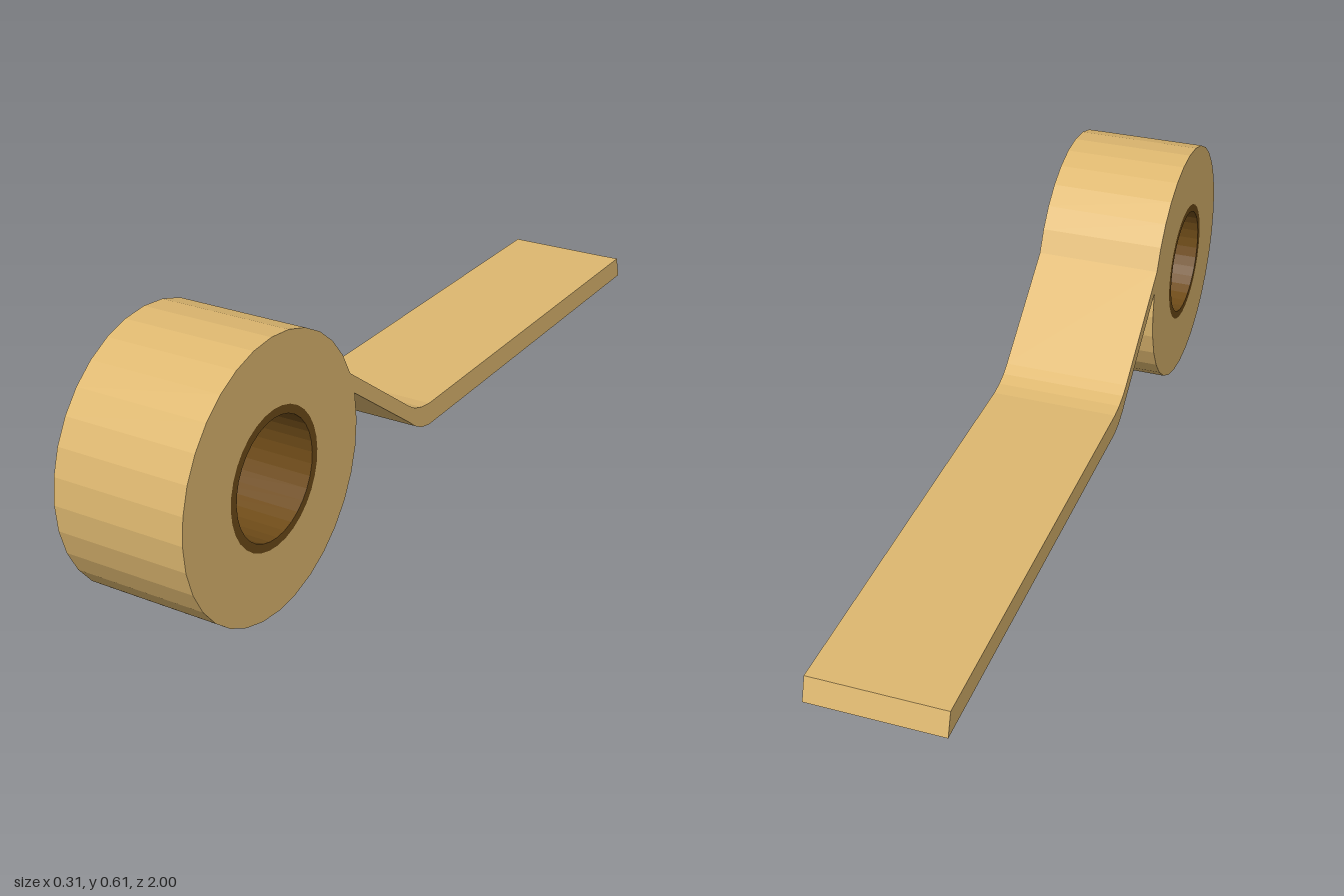
import * as THREE from 'three';

const WIDTH = 0.305;
const CENTER = { z: 0.695, y: 0.306 };
const SIDES = 32;

const ringPoints = (r) => Array.from({ length: SIDES }, (_, i) => {
  const a = (i / SIDES) * Math.PI * 2;
  return new THREE.Vector2(CENTER.z + r * Math.cos(a), CENTER.y + r * Math.sin(a));
});

// Extrudes a side profile drawn in (z, y) across the width, centred on x = 0
function acrossWidth(name, shape, material) {
  const geometry = new THREE.ExtrudeGeometry(shape, { depth: WIDTH, bevelEnabled: false });
  geometry.translate(0, 0, -WIDTH / 2);
  geometry.rotateY(-Math.PI / 2);
  const mesh = new THREE.Mesh(geometry, material);
  mesh.name = name;
  return mesh;
}

function ring(name, outer, inner, material) {
  const shape = new THREE.Shape(ringPoints(outer));
  shape.holes.push(new THREE.Path(ringPoints(inner)));
  return acrossWidth(name, shape, material);
}

export function createModel() {
  const group = new THREE.Group();
  group.name = 'tapeRoll';
  const tape = new THREE.MeshStandardMaterial({ color: 0xdeb870, flatShading: true });
  const card = new THREE.MeshStandardMaterial({ color: 0x6e4b18, flatShading: true });

  // Wound tape and the cardboard core inside it
  group.add(ring('woundTape', 0.305, 0.152, tape));
  group.add(ring('core', 0.152, 0.133, card));

  // Loose strip: leaves the roll along one facet, bends, then runs flat to a slanted end
  const facet = ringPoints(0.305).slice(14, 16);
  const strip = new THREE.Shape([
    facet[0],
    new THREE.Vector2(0.165, 0.242),
    new THREE.Vector2(0.14, 0.227),
    new THREE.Vector2(0.11, 0.217),
    new THREE.Vector2(0.075, 0.212),
    new THREE.Vector2(-0.983, 0.212),
    new THREE.Vector2(-1, 0.158),
    new THREE.Vector2(0.075, 0.158),
    new THREE.Vector2(0.11, 0.166),
    new THREE.Vector2(0.14, 0.182),
    new THREE.Vector2(0.165, 0.202),
    facet[1].clone().lerp(facet[0], 0.1),
  ]);
  group.add(acrossWidth('looseStrip', strip, tape));
  return group;
}
